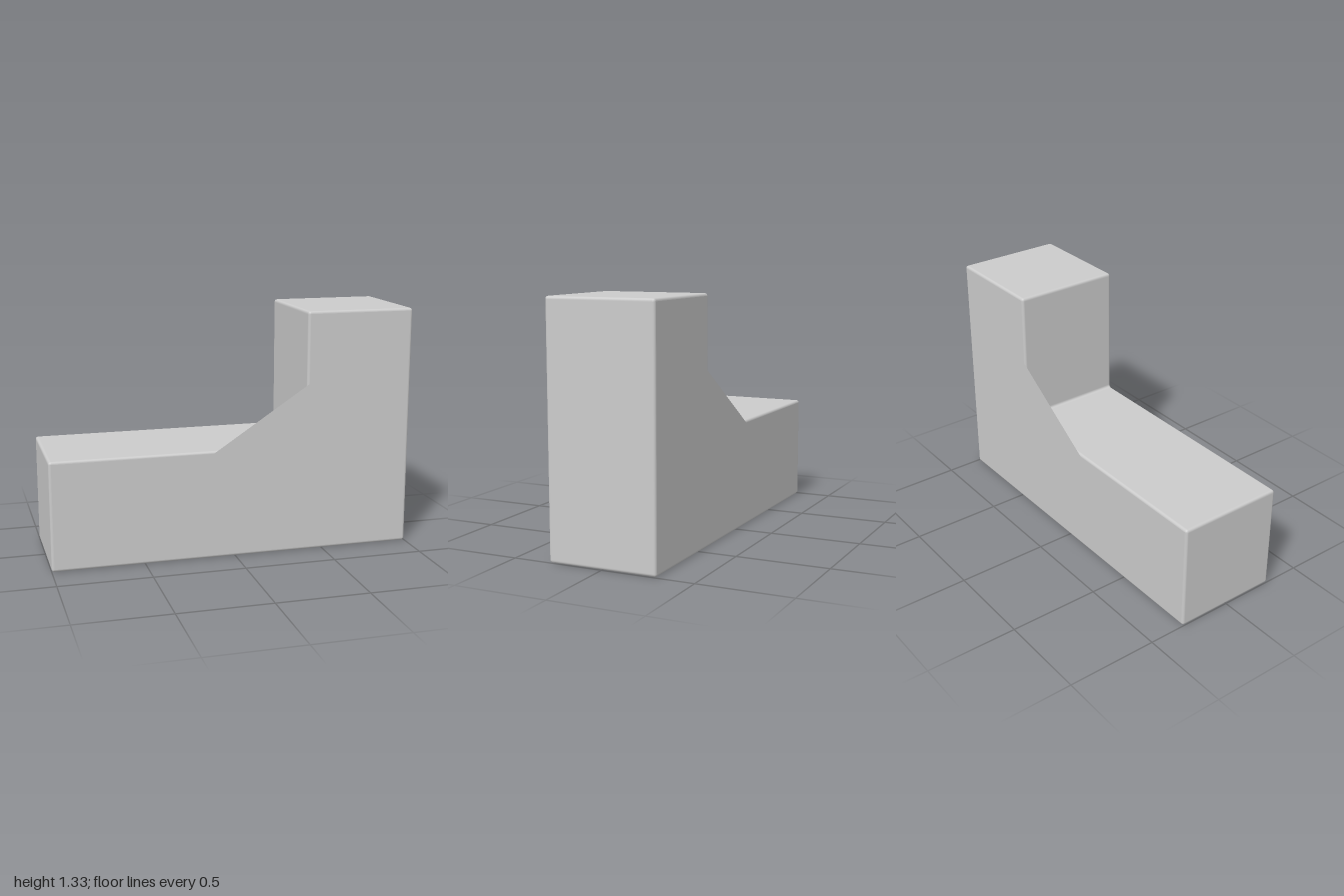
import * as THREE from 'three';
import { mergeVertices } from 'three/addons/utils/BufferGeometryUtils.js';

const BEVEL = 0.014;
const RADIUS = 0.017;
const DEPTH = 0.595;

// Closed outline whose corners are all rounded by the same radius
function roundedOutline(corners, radius) {
  const points = corners.map(([x, y]) => new THREE.Vector2(x, y));
  const shape = new THREE.Shape();
  points.forEach((corner, i) => {
    const previous = points[(i + points.length - 1) % points.length];
    const next = points[(i + 1) % points.length];
    const start = previous.clone().sub(corner).setLength(radius).add(corner);
    const end = next.clone().sub(corner).setLength(radius).add(corner);
    if (i === 0) shape.moveTo(start.x, start.y);
    else shape.lineTo(start.x, start.y);
    shape.quadraticCurveTo(corner.x, corner.y, end.x, end.y);
  });
  shape.closePath();
  return shape;
}

export function createModel() {
  const group = new THREE.Group();
  group.name = 'lShapedBlock';

  // L outline: long low arm with an upright at the +x end
  const outline = roundedOutline(
    [[-1, 0], [1, 0], [1, 1.325], [0.4, 1.325], [0.4, 0.597], [-1, 0.597]],
    RADIUS
  );

  // Extrude along z with softly rounded edges
  let geometry = new THREE.ExtrudeGeometry(outline, {
    depth: DEPTH - 2 * BEVEL,
    curveSegments: 5,
    bevelEnabled: true,
    bevelThickness: BEVEL,
    bevelSize: BEVEL,
    bevelOffset: -BEVEL,
    bevelSegments: 5,
  });
  geometry.translate(0, 0, BEVEL - DEPTH / 2);

  // Area-weighted smooth normals keep the large faces flat
  geometry.deleteAttribute('uv');
  geometry.deleteAttribute('normal');
  geometry = mergeVertices(geometry, 1e-5);
  geometry.computeVertexNormals();

  const block = new THREE.Mesh(geometry, new THREE.MeshStandardMaterial({ color: 0xcccccc }));
  block.name = 'block';
  group.add(block);
  return group;
}
